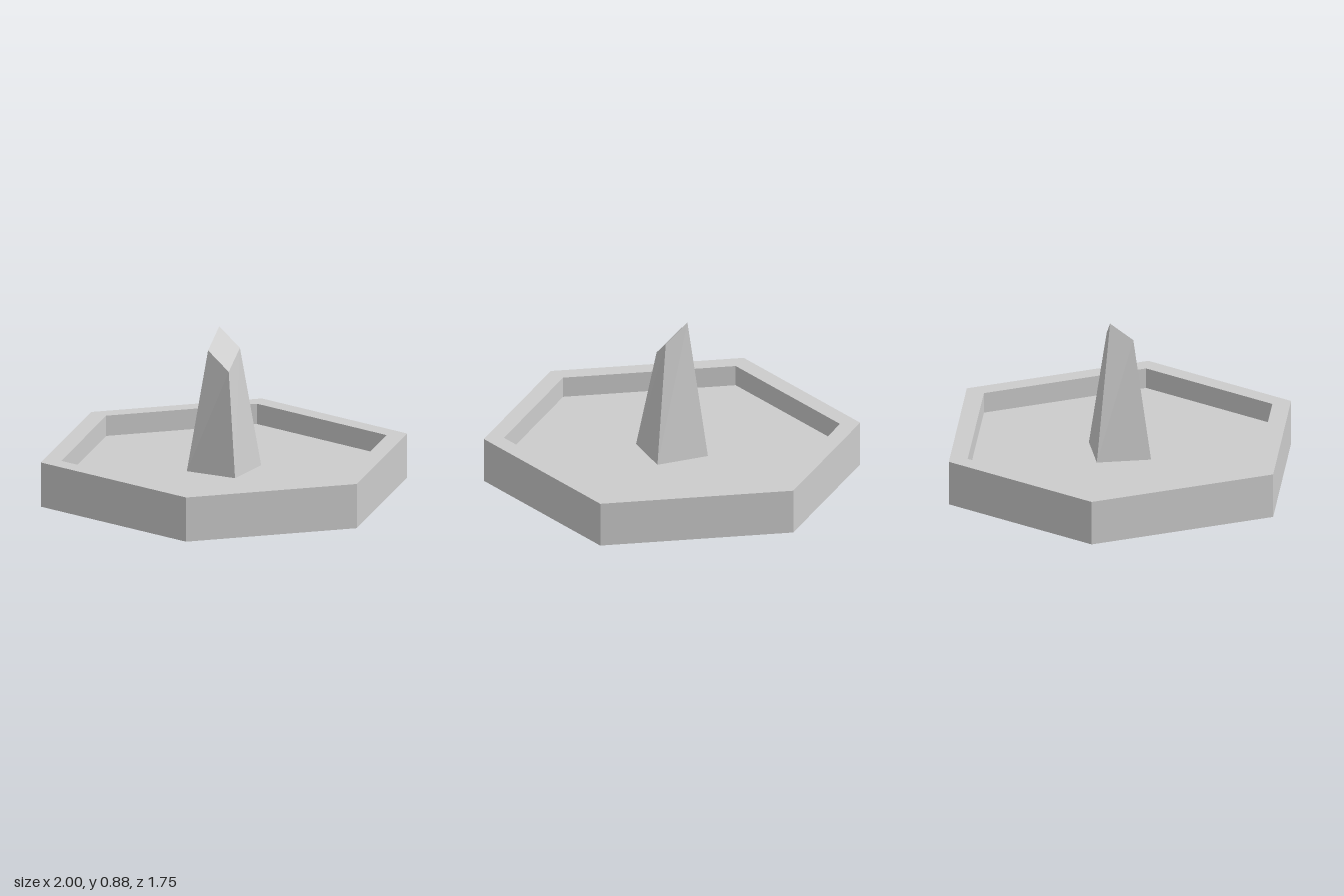
import * as THREE from 'three';

// Hexagon with points on the x axis; corner (cx, cz) is mirrored to all four quadrants
function hexPoints(tip, cx, cz) {
  return [[tip, 0], [cx, cz], [-cx, cz], [-tip, 0], [-cx, -cz], [cx, -cz]]
    .map(([x, y]) => new THREE.Vector2(x, y));
}

// Extrude a shape upward from y = 0
function slab(shape, height) {
  return new THREE.ExtrudeGeometry(shape, { depth: height, bevelEnabled: false })
    .rotateX(-Math.PI / 2);
}

export function createModel() {
  const model = new THREE.Group();
  const stone = new THREE.MeshStandardMaterial({ color: 0xcccccc });
  stone.name = 'light grey';

  const add = (name, geometry) => {
    const mesh = new THREE.Mesh(geometry, stone);
    mesh.name = name;
    model.add(mesh);
  };

  const floorY = 0.13;
  const outer = hexPoints(1, 0.466, 0.874);
  const inner = hexPoints(0.888, 0.412, 0.782);

  // Raised hexagonal rim around a recessed floor
  const rim = new THREE.Shape(outer);
  rim.holes.push(new THREE.Path(inner));
  add('rim', slab(rim, 0.24));
  add('floor', slab(new THREE.Shape(inner), floorY));

  // Tapered four-sided pillar whose top is cut on a slope facing the front
  const topY = 0.777;
  const height = topY - floorY;
  const pillar = new THREE.CylinderGeometry(0.087, 0.203, height, 4, 1)
    .translate(0, floorY + height / 2, 0)
    .toNonIndexed();
  const pos = pillar.attributes.position;
  for (let i = 0; i < pos.count; i++) {
    if (pos.getY(i) > 0.5) pos.setY(i, topY - 1.16 * pos.getZ(i));
  }
  pillar.computeVertexNormals();
  add('pillar', pillar);

  return model;
}
